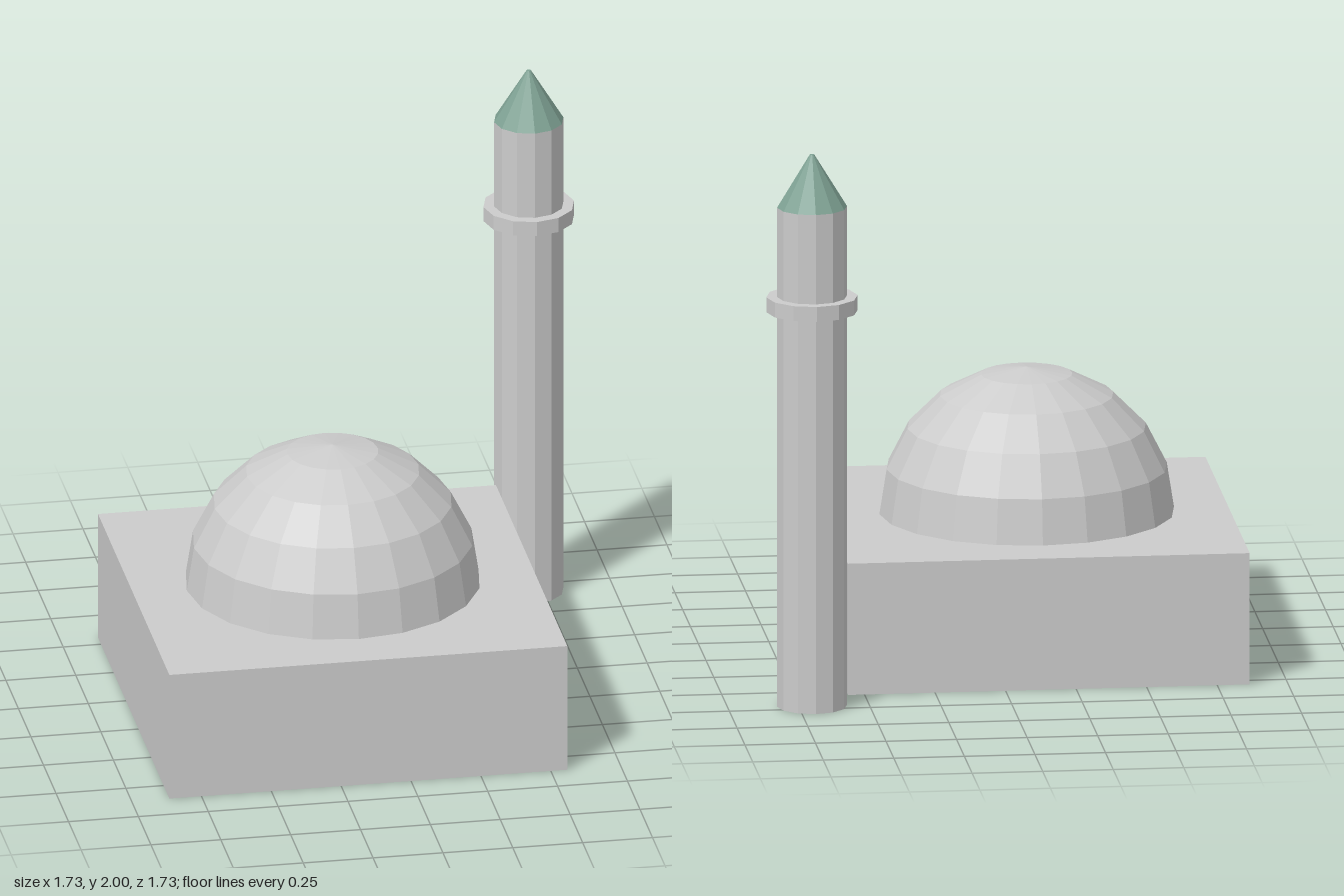
import * as THREE from 'three';

const stone = new THREE.MeshStandardMaterial({ color: 0xcccccc, flatShading: true });
const patina = new THREE.MeshStandardMaterial({ color: 0x7fa294, flatShading: true });

function addPart(parent, name, geometry, material, y) {
  const mesh = new THREE.Mesh(geometry, material);
  mesh.name = name;
  mesh.position.y = y;
  parent.add(mesh);
}

// Twelve-sided upright drum spanning y0 to y1
function addDrum(parent, name, rTop, rBottom, y0, y1, material = stone) {
  const geometry = new THREE.CylinderGeometry(rTop, rBottom, y1 - y0, 12);
  addPart(parent, name, geometry, material, (y0 + y1) / 2);
}

export function createModel() {
  const model = new THREE.Group();
  model.name = 'domedBuilding';

  // Square hall with a faceted half-sphere dome
  const hall = new THREE.Group();
  hall.name = 'hall';
  hall.position.set(-0.153, 0, 0.153);
  const baseHeight = 0.476;
  addPart(hall, 'base', new THREE.BoxGeometry(1.424, baseHeight, 1.424), stone, baseHeight / 2);
  addPart(hall, 'dome',
    new THREE.SphereGeometry(0.522, 20, 5, 0, Math.PI * 2, 0, Math.PI / 2), stone, baseHeight);
  model.add(hall);

  // Slender tower at the back corner, with a balcony ring and pointed roof
  const tower = new THREE.Group();
  tower.name = 'tower';
  tower.position.set(0.702, 0, -0.702);
  addDrum(tower, 'shaft', 0.124, 0.124, 0, 1.81);
  addDrum(tower, 'balcony', 0.162, 0.162, 1.432, 1.486);
  addDrum(tower, 'spire', 0.008, 0.124, 1.81, 2, patina);
  model.add(tower);

  return model;
}
